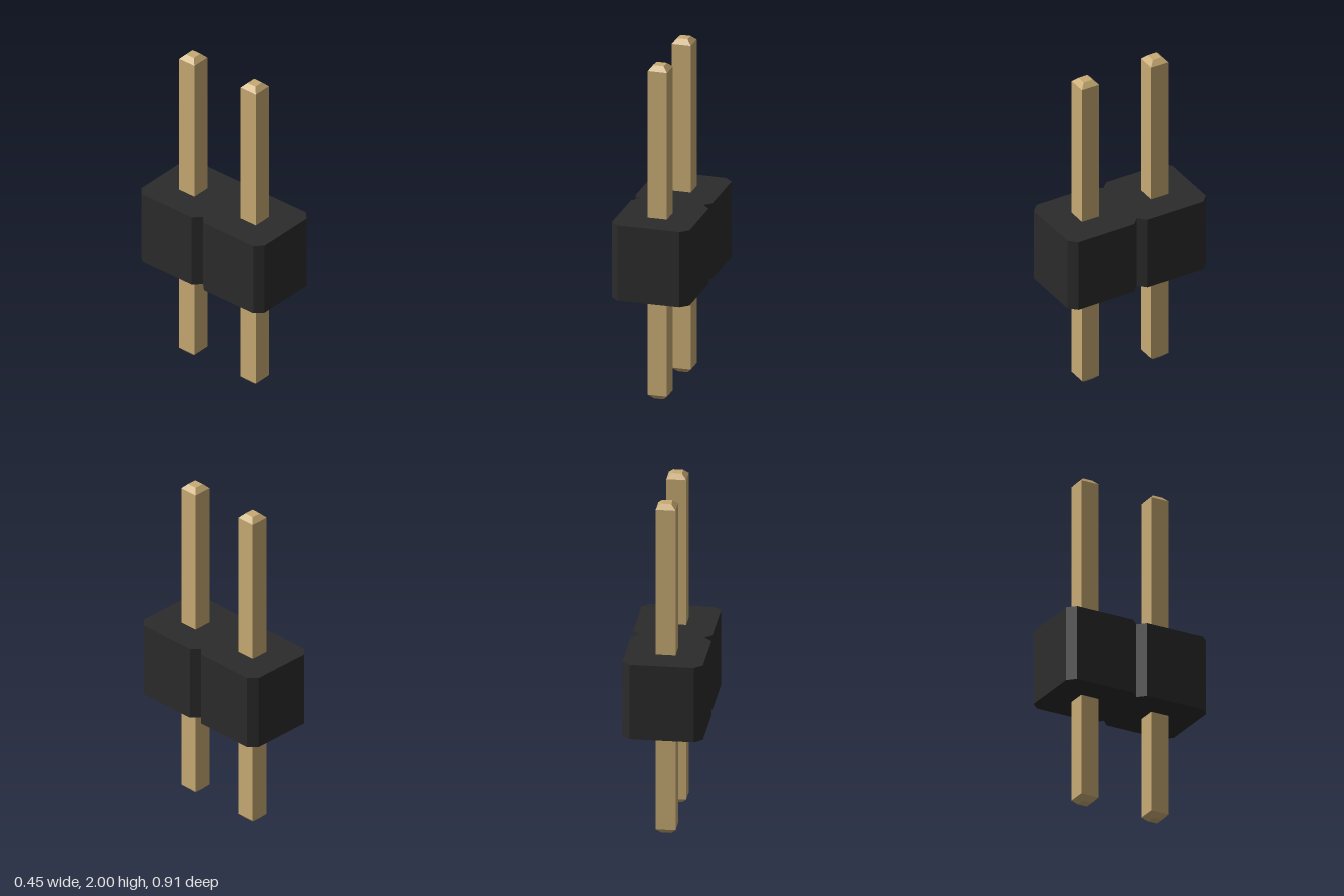
import * as THREE from 'three';

const PITCH = 0.4545; // spacing between pins
const HALF = PITCH / 2;
const CHAMFER = 0.045;
const BODY_BOTTOM = 0.64;
const BODY_TOP = 1.092;

// Square pin with bevelled ends: a four-sided lathe
function pinGeometry() {
  const side = 0.056, tip = 0.029, bevel = 0.028, height = 2;
  const profile = [
    [0, 0], [tip, 0], [side, bevel], [side, height - bevel], [tip, height], [0, height],
  ].map(([half, y]) => new THREE.Vector2(half * Math.SQRT2, y));
  const geometry = new THREE.LatheGeometry(profile, 4, Math.PI / 4).toNonIndexed();
  geometry.computeVertexNormals();
  return geometry;
}

// Housing outline: two chamfered squares joined with a notch on each side
function housingGeometry() {
  const inner = HALF - CHAMFER;
  const rightEdge = [
    [inner, -PITCH], [HALF, -PITCH + CHAMFER], [HALF, -CHAMFER], [inner, 0],
    [HALF, CHAMFER], [HALF, PITCH - CHAMFER], [inner, PITCH],
  ];
  const leftEdge = rightEdge.map(([x, y]) => [-x, y]).reverse();
  const shape = new THREE.Shape([...rightEdge, ...leftEdge].map(([x, y]) => new THREE.Vector2(x, y)));
  const geometry = new THREE.ExtrudeGeometry(shape, { depth: BODY_TOP - BODY_BOTTOM, bevelEnabled: false });
  geometry.rotateX(-Math.PI / 2);
  geometry.translate(0, BODY_BOTTOM, 0);
  return geometry;
}

export function createModel() {
  const group = new THREE.Group();
  group.name = 'pinHeader';
  const plastic = new THREE.MeshStandardMaterial({ color: 0x2b2b2b, flatShading: true });
  const metal = new THREE.MeshStandardMaterial({ color: 0xc8ab74, flatShading: true });

  const housing = new THREE.Mesh(housingGeometry(), plastic);
  housing.name = 'housing';
  group.add(housing);

  // Front and back pins share one geometry
  const geometry = pinGeometry();
  for (const [name, z] of [['frontPin', HALF], ['backPin', -HALF]]) {
    const pin = new THREE.Mesh(geometry, metal);
    pin.name = name;
    pin.position.z = z;
    group.add(pin);
  }
  return group;
}
